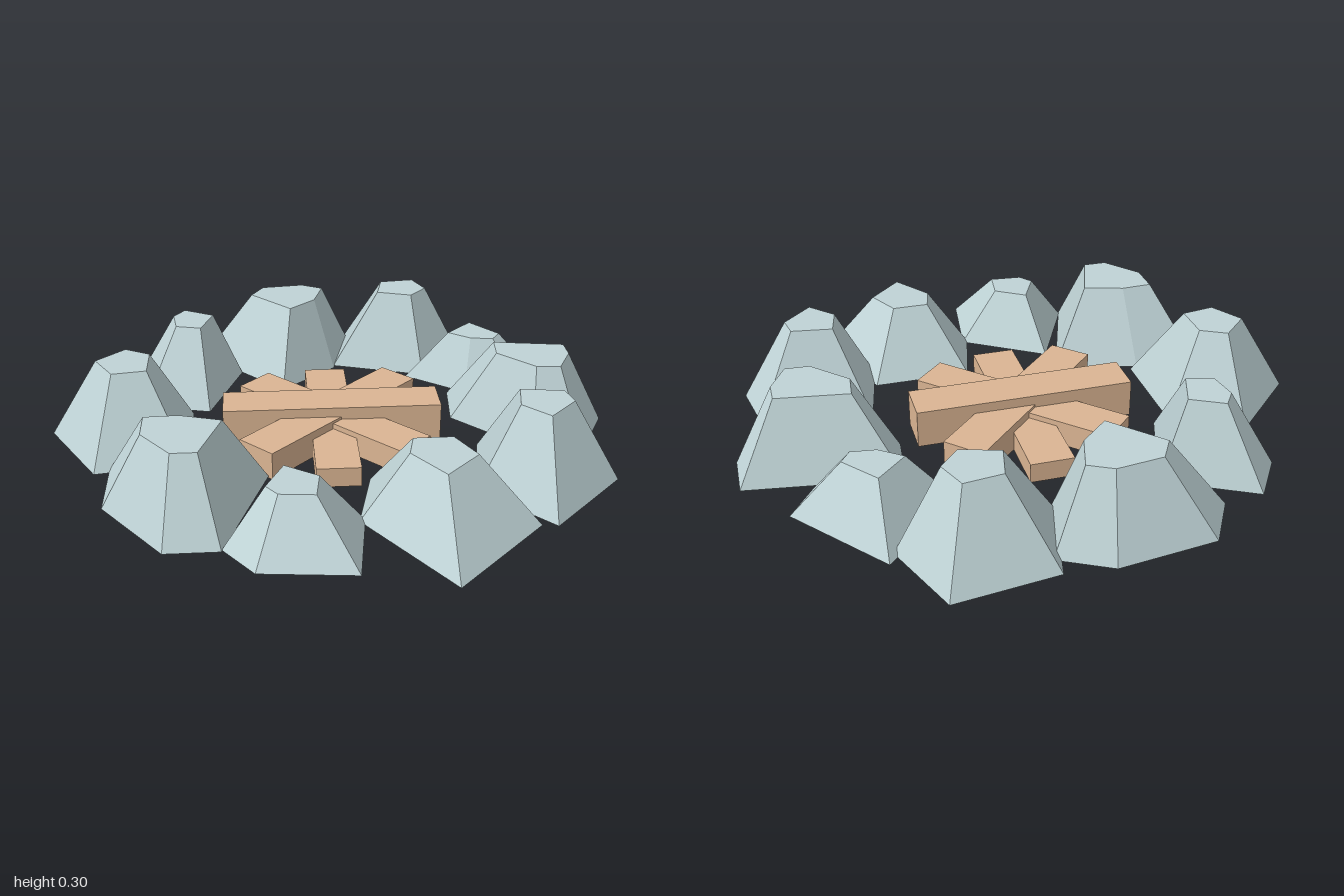
import * as THREE from 'three';

const stoneMat = new THREE.MeshStandardMaterial({ color: 0xbfd3d6, flatShading: true });
const woodMat = new THREE.MeshStandardMaterial({ color: 0xdbb593, flatShading: true });

const GROUND = 0.01; // stones rest just above the log bottoms

// Each stone: height, centre of its top, and base outline as [x, z], clockwise from above
const STONES = [
  { h: 0.3, peak: [-.73, -.05], base: [[-1, -.08], [-.74, -.33], [-.5, -.2], [-.5, .18], [-.82, .23]] },
  { h: 0.28, peak: [-.5, -.47], base: [[-.62, -.71], [-.32, -.55], [-.44, -.21], [-.69, -.27], [-.73, -.55]] },
  { h: 0.28, peak: [-.13, -.68], base: [[-.38, -.89], [-.04, -.93], [.13, -.84], [.05, -.57], [-.16, -.38], [-.48, -.72]] },
  { h: 0.3, peak: [.33, -.7], base: [[.12, -.91], [.47, -.95], [.58, -.68], [.4, -.48], [.05, -.59]] },
  { h: 0.2, peak: [.59, -.47], base: [[.6, -.73], [.86, -.41], [.77, -.28], [.54, -.31], [.33, -.47]] },
  { h: 0.28, peak: [.73, -.06], base: [[.47, -.31], [1, -.23], [1, -.06], [.88, .17], [.7, .16], [.45, -.1]] },
  { h: 0.3, peak: [.68, .36], base: [[.51, .11], [.9, .17], [.94, .38], [.67, .65], [.45, .42]] },
  { h: 0.245, peak: [.31, .59], base: [[.11, .32], [.46, .32], [.62, .64], [.31, .95], [.05, .58]] },
  { h: 0.2, peak: [-.16, .63], base: [[-.22, .38], [.07, .57], [.03, .87], [-.28, .84], [-.38, .71]] },
  { h: 0.28, peak: [-.5, .46], base: [[-.77, .2], [-.53, .19], [-.23, .28], [-.38, .72], [-.56, .72], [-.77, .45]] },
];

// Faceted block: the top is the base outline shrunk about its middle and moved to the peak
function stoneGeometry({ h, peak, base }) {
  const n = base.length;
  const shrink = n === 6 ? 0.47 : 0.37; // six-sided stones have broader tops
  const middle = new THREE.Box2()
    .setFromPoints(base.map(([x, z]) => new THREE.Vector2(x, z)))
    .getCenter(new THREE.Vector2());
  const b = base.map(([x, z]) => [x, GROUND, z]);
  const t = base.map(([x, z]) => [
    peak[0] + (x - middle.x) * shrink, h, peak[1] + (z - middle.y) * shrink,
  ]);
  const pos = [];
  const tri = (...pts) => pts.forEach((p) => pos.push(...p));
  for (let i = 0; i < n; i++) {
    const j = (i + 1) % n;
    tri(b[j], b[i], t[i]);
    tri(b[j], t[i], t[j]);
    if (i > 0 && j > 0) {
      tri(t[0], t[j], t[i]);
      tri(b[0], b[i], b[j]);
    }
  }
  const geo = new THREE.BufferGeometry();
  geo.setAttribute('position', new THREE.Float32BufferAttribute(pos, 3));
  geo.computeVertexNormals();
  return geo;
}

export function createModel() {
  const model = new THREE.Group();
  model.name = 'campfire';

  // Ring of stones
  const ring = new THREE.Group();
  ring.name = 'stoneRing';
  STONES.forEach((s, i) => {
    const stone = new THREE.Mesh(stoneGeometry(s), stoneMat);
    stone.name = `stone${i + 1}`;
    ring.add(stone);
  });
  model.add(ring);

  // Crossed square-cut logs sharing one centre: name, turn about y, height
  const logs = new THREE.Group();
  logs.name = 'logs';
  logs.position.set(0.003, 0, -0.04);
  const logSpecs = [
    ['topLog', 0, 0.135],
    ['diagonalLogA', Math.PI / 4, 0.1],
    ['diagonalLogB', -Math.PI / 4, 0.09],
    ['bottomLog', Math.PI / 2, 0.07],
  ];
  for (const [name, turn, height] of logSpecs) {
    const log = new THREE.Mesh(new THREE.BoxGeometry(0.775, height, 0.153), woodMat);
    log.name = name;
    log.position.y = height / 2;
    log.rotation.y = turn;
    logs.add(log);
  }
  model.add(logs);

  return model;
}
